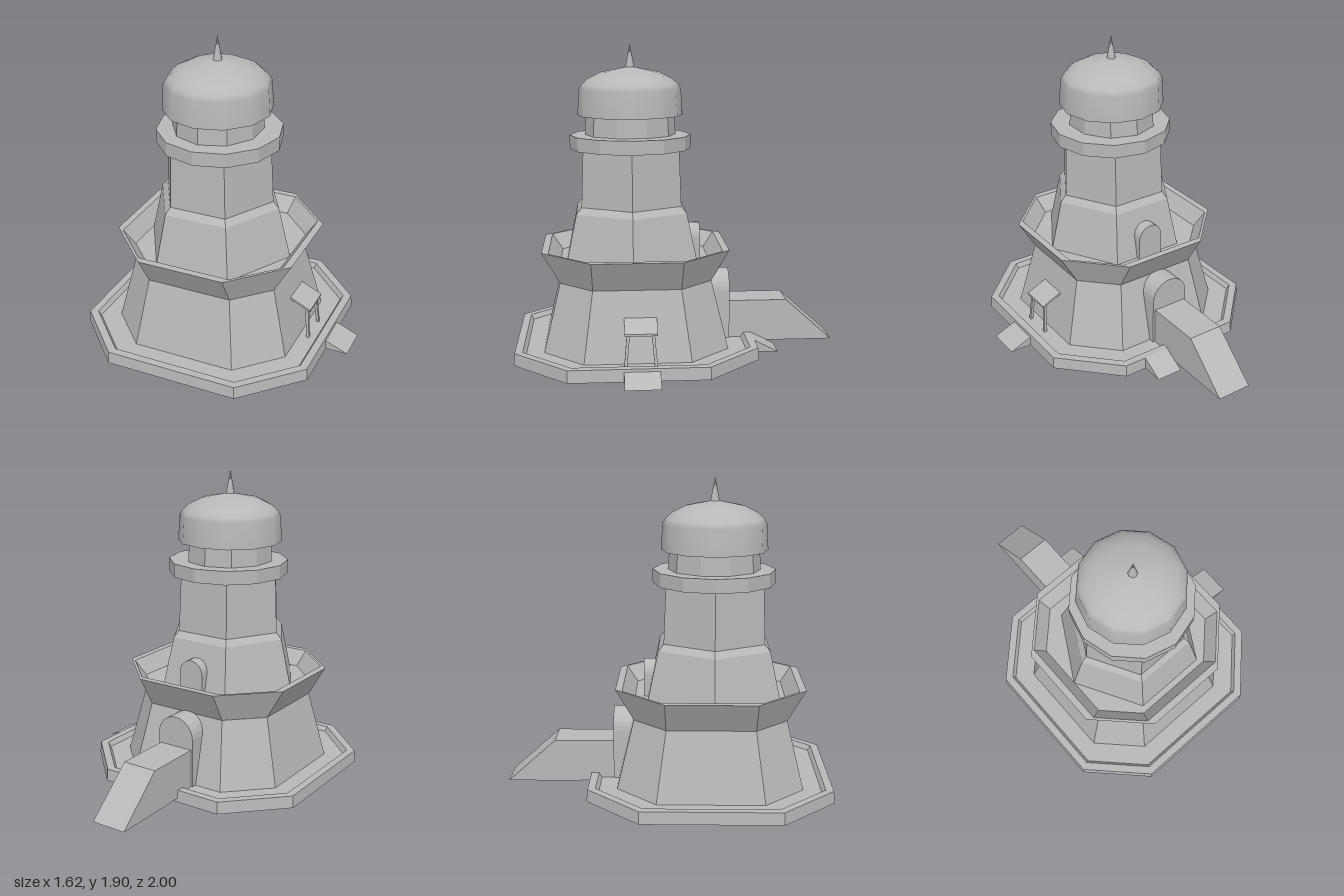
import * as THREE from 'three';

const stone = new THREE.MeshStandardMaterial({ color: 0xb8b8b8, side: THREE.DoubleSide });
stone.name = 'stone grey';

// Outline of a square with cut corners: half width h, half length of each flat side c
const octagon = (h, c) => [[h, c], [h, -c], [c, -h], [-c, -h], [-h, -c], [-h, c], [-c, h], [c, h]];

// Regular outline with a corner on the x axis
const polygon = (r, sides) => Array.from({ length: sides }, (_, i) => {
  const a = i / sides * Math.PI * 2;
  return [r * Math.cos(a), -r * Math.sin(a)];
});

// Flat-faced skin through rings of { y, outline }
function loft(rings) {
  const pos = [];
  for (let k = 0; k + 1 < rings.length; k++) {
    const lo = rings[k], hi = rings[k + 1], n = lo.outline.length;
    for (let i = 0; i < n; i++) {
      const j = (i + 1) % n;
      const at = (r, m) => [r.outline[m][0], r.y, r.outline[m][1]];
      const a = at(lo, i), b = at(lo, j), c = at(hi, j), d = at(hi, i);
      pos.push(...a, ...b, ...c, ...a, ...c, ...d);
    }
  }
  const g = new THREE.BufferGeometry();
  g.setAttribute('position', new THREE.Float32BufferAttribute(pos, 3));
  g.computeVertexNormals();
  return g;
}
const octLoft = (rows) => loft(rows.map(([h, c, y]) => ({ y, outline: octagon(h, c) })));
const polyLoft = (sides, rows) => loft(rows.map(([r, y]) => ({ y, outline: polygon(r, sides) })));

const extrude = (shape, depth) => new THREE.ExtrudeGeometry(shape, { depth, bevelEnabled: false, curveSegments: 6 });
const outline = (pts) => new THREE.Shape(pts.map(([x, y]) => new THREE.Vector2(x, y)));

export function createModel() {
  const model = new THREE.Group();
  model.name = 'tower';
  const add = (name, geometry, x = 0, y = 0, z = 0) => {
    const m = new THREE.Mesh(geometry, stone);
    m.name = name;
    m.position.set(x, y, z);
    model.add(m);
    return m;
  };
  const [bx, bz] = [-0.07, 0.257];   // centre of the eight-sided lower part
  const [tx, tz] = [-0.068, 0.278];  // centre of the upper tower

  // Eight-sided platform with raised rim, hollow below
  add('platform', octLoft([[0.743, 0.415, 0], [0.737, 0.413, 0.075], [0.69, 0.393, 0.075],
    [0.672, 0.386, 0.045], [0.56, 0.32, 0.045]]), bx, 0, bz);
  add('lowerWall', octLoft([[0.564, 0.32, 0.045], [0.463, 0.264, 0.465]]), bx, 0, bz);

  // Flared gallery with sloping parapet and floor
  add('gallery', octLoft([[0.463, 0.264, 0.465], [0.573, 0.27, 0.655], [0.53, 0.29, 0.655],
    [0.463, 0.26, 0.56], [0.2, 0.12, 0.56]]), bx, 0, bz);

  // Six-sided upper tower
  add('upperTower', polyLoft(6, [[0.466, 0.56], [0.39, 0.875], [0.353, 0.915], [0.338, 1.262]]), tx, 0, tz);

  // Balcony ring and lantern room
  add('balcony', polyLoft(12, [[0.2, 1.26], [0.376, 1.26], [0.376, 1.345], [0.2, 1.345]]), tx + 0.01, 0, tz);
  const lantern = add('lanternRoom', polyLoft(10, [[0.282, 1.345], [0.275, 1.47]]), tx, 0, tz);
  lantern.rotation.y = Math.PI / 2;
  lantern.scale.z = 0.96;

  // Smooth dome, its underside and the spire
  const profile = [[0.326, 1.465], [0.316, 1.625], [0.298, 1.655], [0.26, 1.69], [0.18, 1.73], [0.03, 1.76], [0, 1.762]];
  add('dome', new THREE.LatheGeometry(profile.map(([r, y]) => new THREE.Vector2(r, y)), 12), tx, 0, tz);
  add('domeUnderside', polyLoft(12, [[0.1, 1.465], [0.326, 1.465]]), tx, 0, tz);
  add('spire', new THREE.ConeGeometry(0.03, 0.155, 8), tx, 1.8275, tz);

  // Arched doorways at the back
  const archway = (name, x, w, y0, top, z0, z1) => {
    const r = w / 2, s = new THREE.Shape();
    s.moveTo(-r, y0);
    s.lineTo(r, y0);
    s.lineTo(r, top - r);
    s.absarc(0, top - r, r, 0, Math.PI, false);
    s.lineTo(-r, y0);
    add(name, extrude(s, z1 - z0), x, 0, z0);
  };
  archway('lowerDoorway', -0.085, 0.25, 0.045, 0.475, -0.34, -0.12);
  archway('upperDoorway', -0.068, 0.165, 0.56, 0.78, -0.152, 0.0);

  // Back ramps: profiles drawn along -z, extruded across x
  const backRamp = (name, pts, x0, x1) => {
    add(name, extrude(outline(pts), x1 - x0).rotateY(Math.PI / 2), x0);
  };
  backRamp('entranceRamp', [[0.34, 0.03], [0.6, 0.02], [1.0, 0.02], [0.705, 0.285], [0.3, 0.285]], -0.2, 0.025);
  backRamp('backStep', [[0.47, 0], [0.625, 0], [0.48, 0.075]], 0.03, 0.2);

  // Small ramp on the left side
  add('sideStep', extrude(outline([[0.66, 0], [0.81, 0], [0.67, 0.058]]), 0.21), 0, 0, 0.135);

  // Side porch: sloping roof on two leaning posts
  add('porchRoof', extrude(outline([[0.41, 0.302], [0.56, 0.234], [0.56, 0.247], [0.41, 0.317]]), 0.195), 0, 0, 0.143);
  for (const side of [-1, 1]) {
    const foot = new THREE.Vector3(0.55, 0.045, 0.243 + side * 0.09);
    const head = new THREE.Vector3(0.532, 0.25, 0.243 + side * 0.072);
    const dir = head.clone().sub(foot);
    const post = add('porchPost', new THREE.BoxGeometry(0.018, dir.length(), 0.018));
    post.position.copy(foot).add(head).multiplyScalar(0.5);
    post.quaternion.setFromUnitVectors(new THREE.Vector3(0, 1, 0), dir.normalize());
  }
  return model;
}
